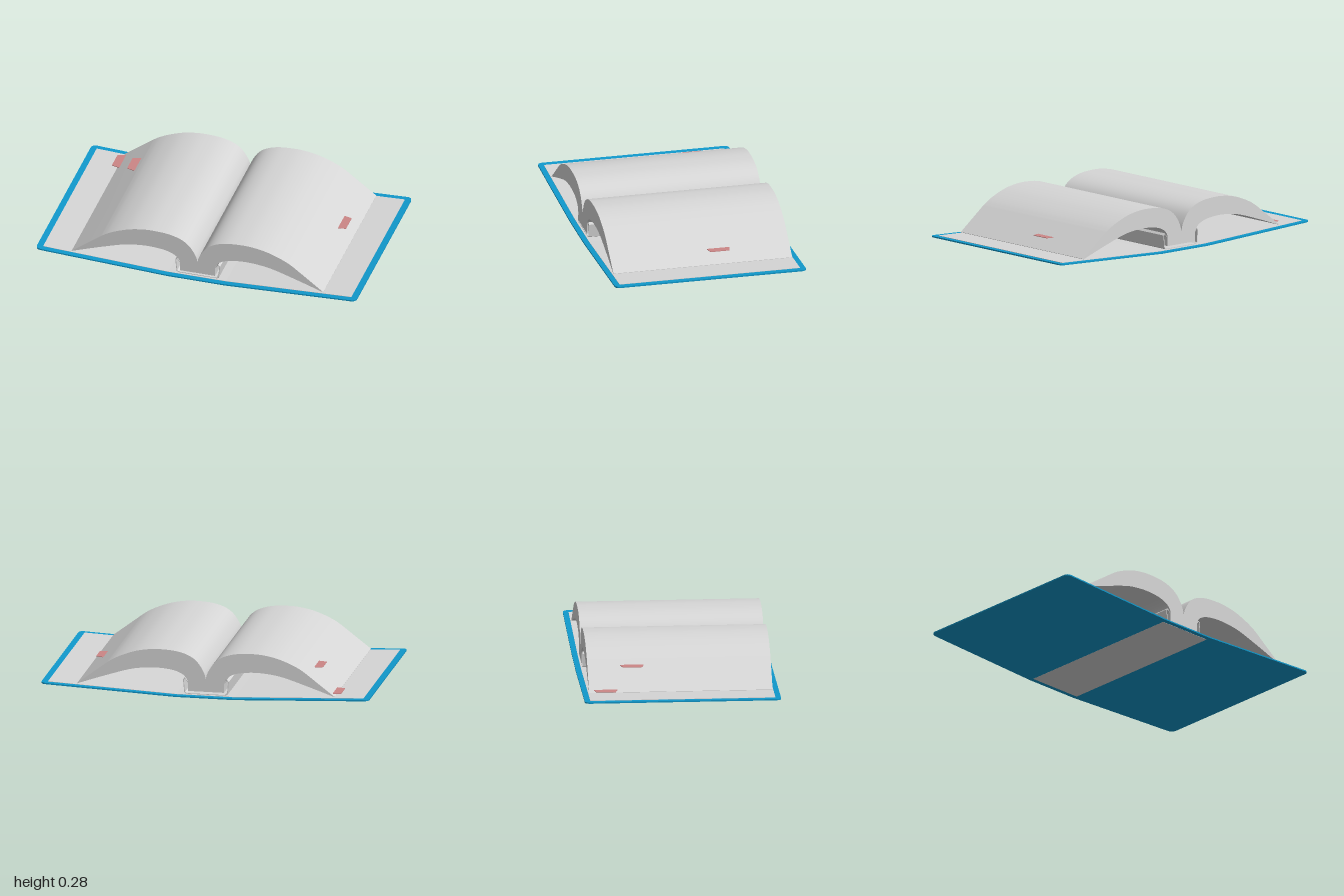
import * as THREE from 'three';
import { toCreasedNormals } from 'three/addons/utils/BufferGeometryUtils.js';

const material = (name, color) => new THREE.MeshStandardMaterial({ name, color });
const v = ([x, y]) => new THREE.Vector2(x, y);
const curve = (pts, n) => new THREE.SplineCurve(pts.map(v)).getPoints(n);
const mirror = pts => pts.map(p => new THREE.Vector2(-p.x, p.y)).reverse();

export function createModel() {
  const group = new THREE.Group();
  const blue = material('blue cover', 0x1099cc);
  const paper = material('paper', 0xd6d6d6);
  const red = material('red tab', 0xcc8686);

  const add = (name, geometry, mat) => {
    const mesh = new THREE.Mesh(geometry, mat);
    mesh.name = name;
    group.add(mesh);
    return mesh;
  };
  // extrudes an x/y outline along z, centred
  const along = (pts, length, crease) => {
    const g = new THREE.ExtrudeGeometry(new THREE.Shape(pts), { depth: length, bevelEnabled: false });
    g.translate(0, 0, -length / 2);
    return toCreasedNormals(g, crease);
  };
  // lays an x/z outline flat as a plate with its underside at y
  const plate = (shape, y, thickness) => {
    const g = new THREE.ExtrudeGeometry(shape, { depth: thickness, bevelEnabled: false, curveSegments: 6 });
    g.rotateX(-Math.PI / 2);
    return g.translate(0, y, 0);
  };

  // Sloping boards with rounded outer corners, and their paper linings
  const hinge = 0.18, slope = 0.037 / (1 - hinge);
  const boardShape = (x, z, r) => {
    const s = new THREE.Shape();
    s.moveTo(hinge, -z);
    s.lineTo(x - r, -z);
    s.quadraticCurveTo(x, -z, x, -z + r);
    s.lineTo(x, z - r);
    s.quadraticCurveTo(x, z, x - r, z);
    s.lineTo(hinge, z);
    return s;
  };
  const tilt = g => {
    const p = g.attributes.position;
    for (let i = 0; i < p.count; i++) p.setY(i, p.getY(i) + (p.getX(i) - hinge) * slope);
    g.computeVertexNormals();
    return g;
  };
  for (const side of ['left', 'right']) {
    const turn = side === 'left' ? 0 : Math.PI;
    add(side + 'Cover', tilt(plate(boardShape(1, 0.588, 0.035), 0.001, 0.008)), blue).rotation.y = turn;
    add(side + 'Lining', tilt(plate(boardShape(0.962, 0.555, 0.003), 0.009, 0.002)), paper).rotation.y = turn;
  }

  // Spine: blue strip, paper lining above and paper panel beneath
  const strip = (name, y, h, length, mat) =>
    add(name, new THREE.BoxGeometry(hinge * 2, h, length).translate(0, y + h / 2, 0), mat);
  strip('spine', 0.001, 0.008, 1.176, blue);
  strip('spineLining', 0.009, 0.002, 1.11, paper);
  strip('spinePanel', 0, 0.001, 1.12, paper);

  // Page block: two arched halves meeting in a gutter
  const top = curve([[0, 0.11], [0.012, 0.152], [0.05, 0.212], [0.1, 0.25], [0.17, 0.273], [0.25, 0.281],
    [0.33, 0.28], [0.42, 0.265], [0.5, 0.238], [0.56, 0.21], [0.6, 0.185]], 44);
  const flap = [[0.608, 0.179], [0.785, 0.044]].map(v);
  const under = curve([[0.785, 0.042], [0.7, 0.072], [0.6, 0.106], [0.48, 0.144], [0.4, 0.16], [0.3, 0.167],
    [0.2, 0.157], [0.14, 0.133], [0.115, 0.105], [0.11, 0.085]], 36);
  const half = [...top, ...flap, ...under, v([0.11, 0.032])];
  add('pages', along([...half, ...mirror(half).slice(0, -1)], 1.1, 0.35), paper);

  // Thin folded sheet holding the page block to the spine
  const outer = [[0.112, 0.09], [0.128, 0.112], [0.14, 0.1], [0.132, 0.02], [0.12, 0.013]].map(v);
  const inner = [[0.116, 0.017], [0.128, 0.024], [0.135, 0.098], [0.127, 0.107], [0.114, 0.086]].map(v);
  add('hingeSheet', along([...outer, ...mirror(outer), ...mirror(inner), ...inner], 1.09, 0.5), paper);

  // Page marker tabs: wide edge against the page, narrow edge outward
  const tab = (name, x0, x1, y, z) => {
    const s = new THREE.Shape([[x0, -0.072], [x1, -0.058], [x1, 0.058], [x0, 0.072]].map(v));
    add(name, plate(s, y, 0.003), red).position.z = z;
  };
  tab('lowerRightTab', -0.765, -0.818, 0.054, -0.45);
  tab('upperRightTab', -0.62, -0.673, 0.165, -0.283);
  tab('leftTab', 0.69, 0.745, 0.108, -0.115);

  return group;
}
